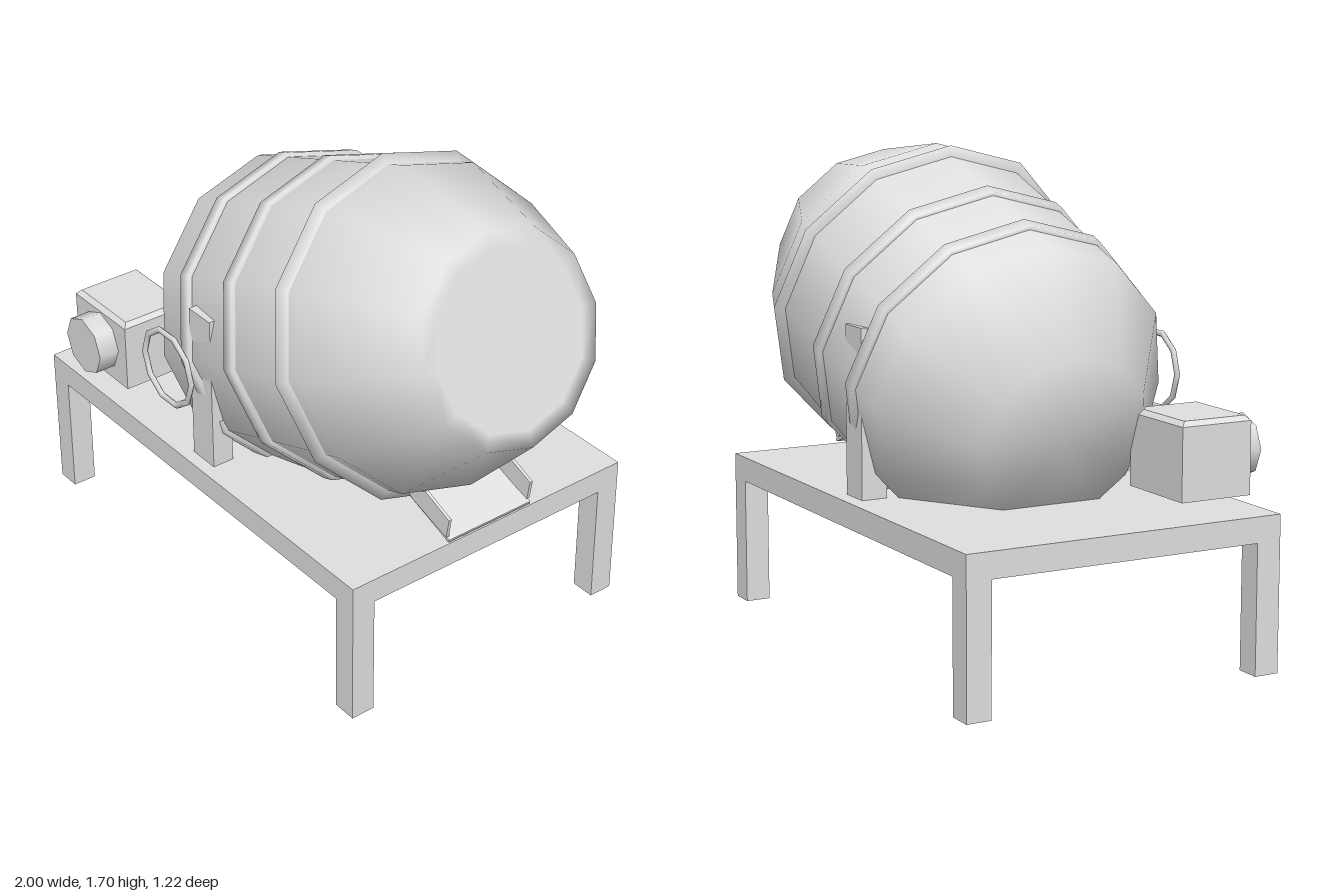
import * as THREE from 'three';

const steel = new THREE.MeshStandardMaterial({ color: 0xe0e0e0 });
steel.name = 'light grey steel';
steel.side = THREE.DoubleSide;

const MID_Z = -0.015; // centre plane of drum and table

function add(parent, name, geometry, x = 0, y = 0, z = 0) {
  const mesh = new THREE.Mesh(geometry, steel);
  mesh.name = name;
  mesh.position.set(x, y, z);
  parent.add(mesh);
  return mesh;
}

// Box without a bottom, given by its minimum and maximum corners
function addOpenBox(parent, name, [x0, y0, z0], [x1, y1, z1]) {
  const geometry = new THREE.BoxGeometry(x1 - x0, y1 - y0, z1 - z0);
  const index = Array.from(geometry.index.array);
  index.splice(18, 6);
  geometry.setIndex(index);
  geometry.clearGroups();
  add(parent, name, geometry, (x0 + x1) / 2, (y0 + y1) / 2, (z0 + z1) / 2);
}

function addLathe(parent, name, profile) {
  const points = profile.map(([r, y]) => new THREE.Vector2(r, y));
  add(parent, name, new THREE.LatheGeometry(points, 12));
}

function makeTable() {
  const table = new THREE.Group();
  table.name = 'table';
  // Hollow tray: a top with an apron around it
  addOpenBox(table, 'tableTop', [-1, 0.455, -0.605], [0.81, 0.545, 0.575]);
  for (const x of [-1, 0.72]) {
    for (const z of [-0.605, 0.485]) {
      addOpenBox(table, 'leg', [x, 0, z], [x + 0.09, 0.455, z + 0.09]);
    }
  }
  return table;
}

function makeDrum() {
  // Local y runs along the drum axis, with the mouth at y = 0
  const drum = new THREE.Group();
  drum.name = 'drum';
  addLathe(drum, 'drumShell', [
    [0, -1.56], [0.315, -1.56], [0.56, -1.24],
    [0.563, -0.385], [0.37, 0], [0.31, 0], [0, 0],
  ]);
  // Thin raised flange where barrel meets cone
  addLathe(drum, 'flange', [[0.555, -0.507], [0.599, -0.487], [0.555, -0.457]]);
  for (const y of [-1.077, -0.805]) {
    addLathe(drum, 'drumBand', [
      [0.55, y - 0.025], [0.577, y - 0.025], [0.577, y + 0.025], [0.55, y + 0.025],
    ]);
  }
  drum.position.set(0.872, 1.307, MID_Z);
  drum.rotation.z = -THREE.MathUtils.degToRad(70);
  return drum;
}

function makeMotor() {
  const motor = new THREE.Group();
  motor.name = 'motor';
  // Housing: the upper row of vertices is drawn in to chamfer the lid
  let housing = new THREE.BoxGeometry(0.32, 0.27, 0.27, 1, 2, 1);
  const p = housing.attributes.position;
  for (let i = 0; i < p.count; i++) {
    const y = p.getY(i);
    if (Math.abs(y) < 0.01) p.setY(i, 0.118);
    else if (y > 0) {
      p.setX(i, p.getX(i) * 0.9);
      p.setZ(i, p.getZ(i) * 0.88);
    }
  }
  housing = housing.toNonIndexed();
  housing.computeVertexNormals();
  add(motor, 'motorHousing', housing, -0.73, 0.728, 0.392);
  const pulley = add(motor, 'pulley', new THREE.CylinderGeometry(0.11, 0.11, 0.09, 8), -0.73, 0.73, 0.56);
  pulley.rotation.x = Math.PI / 2;
  return motor;
}

function makeChute() {
  const chute = new THREE.Group();
  chute.name = 'chute';
  // Sloping floor
  const floor = add(chute, 'chuteFloor', new THREE.BoxGeometry(0.28, 0.012, 0.36), 0.68, 0.605, MID_Z + 0.005);
  floor.rotation.z = -0.35;
  // Upright side plates
  const outline = [[0.6, 0.645], [0.69, 0.695], [0.815, 0.645], [0.803, 0.57], [0.63, 0.625]];
  const side = new THREE.Shape(outline.map(([x, y]) => new THREE.Vector2(x, y)));
  for (const z of [-0.195, 0.163]) {
    add(chute, 'chuteSide', new THREE.ExtrudeGeometry(side, { depth: 0.012, bevelEnabled: false }), 0, 0, z);
  }
  return chute;
}

export function createModel() {
  const model = new THREE.Group();
  model.name = 'cementMixer';
  model.add(makeTable(), makeDrum(), makeMotor(), makeChute());

  // Hollow posts carrying the drum on both sides
  addOpenBox(model, 'drumPost', [-0.155, 0.52, 0.445], [-0.035, 1.135, 0.527]);
  addOpenBox(model, 'drumPost', [-0.155, 0.52, -0.55], [-0.035, 1.135, -0.457]);

  // Tilting wheel
  const wheel = add(model, 'handWheel', new THREE.TorusGeometry(0.14, 0.012, 6, 10), -0.185, 0.91, 0.602);
  wheel.scale.z = 0.8;
  return model;
}
